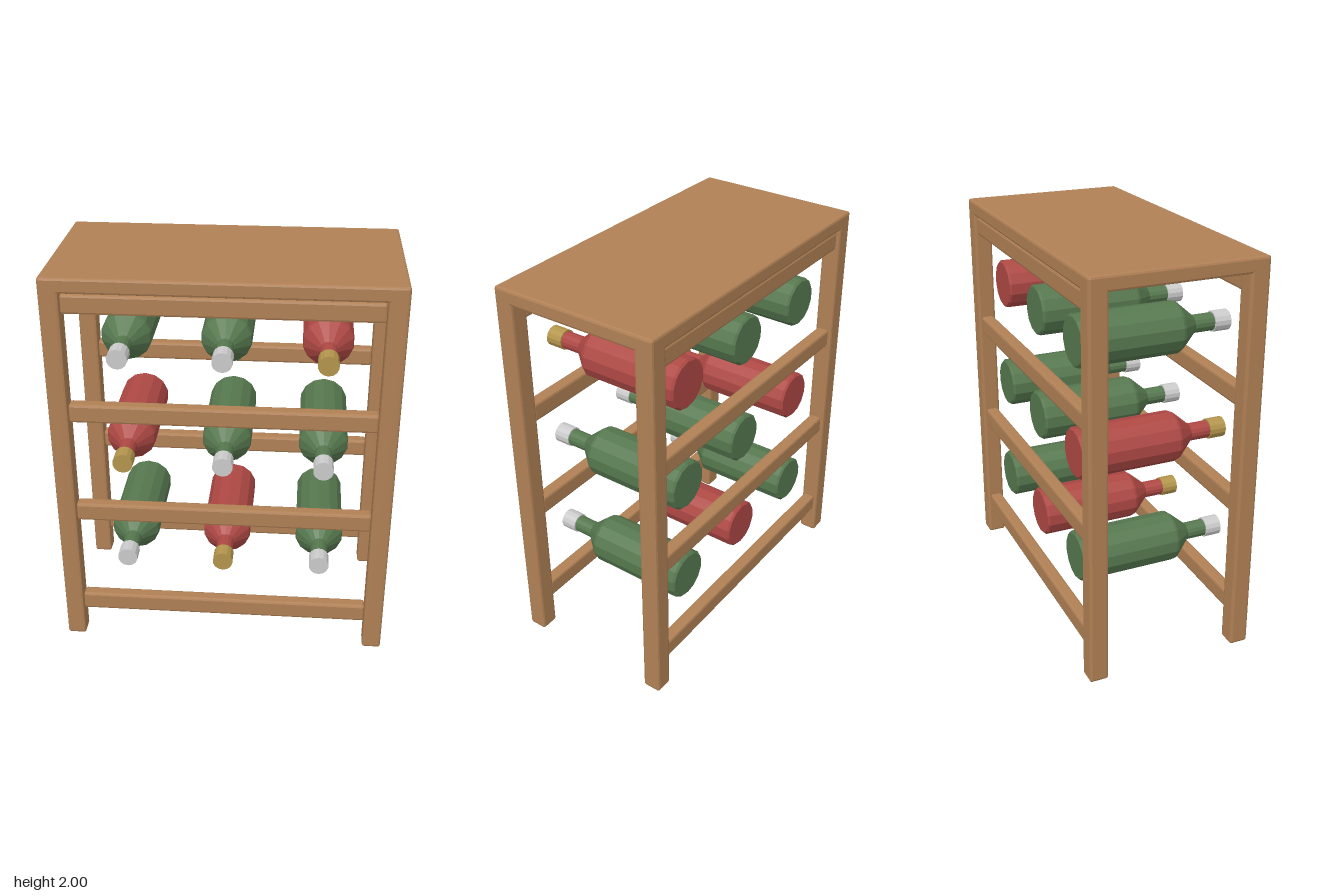
import * as THREE from 'three';
import { RoundedBoxGeometry } from 'three/addons/geometries/RoundedBoxGeometry.js';

const mat = (color) => new THREE.MeshStandardMaterial({ color, flatShading: true });

export function createModel() {
  const rack = new THREE.Group();
  rack.name = 'bottleRack';
  const wood = mat(0xb08055), green = mat(0x56784f), red = mat(0xae4844);
  const gold = mat(0xb3954c), silver = mat(0xcccccc);

  const beam = (name, w, h, d, x, y, z) => {
    const mesh = new THREE.Mesh(new RoundedBoxGeometry(w, h, d, 1, 0.012), wood);
    mesh.name = name;
    mesh.position.set(x, y, z);
    rack.add(mesh);
  };

  // Top board and four legs
  beam('topBoard', 1.66, 0.075, 0.86, 0, 1.9625, 0);
  for (const x of [-0.7825, 0.7825])
    for (const z of [-0.3825, 0.3825]) beam('leg', 0.095, 1.96, 0.095, x, 0.98, z);

  // Cross rails, front and back
  for (const y of [0.205, 0.76, 1.315, 1.87])
    for (const z of [-0.3825, 0.3825]) beam('rail', 1.47, 0.095, 0.065, 0, y, z);

  // Bottle and cap profiles, radius against distance along the bottle
  const lathe = (points) => new THREE.LatheGeometry(
    points.map(([r, l]) => new THREE.Vector2(r, l)), 14).rotateX(Math.PI / 2);
  const bottleGeometry = lathe([
    [0, -0.365], [0.115, -0.365], [0.125, -0.355], [0.125, 0.135], [0.12, 0.148],
    [0.055, 0.222], [0.043, 0.235], [0.043, 0.34],
  ]);
  const capGeometry = lathe([[0, 0.337], [0.05, 0.337], [0.05, 0.42], [0, 0.42]]);

  // Three rows of three, with one red bottle in each row
  const redColumn = [1, 0, 2];
  for (let row = 0; row < 3; row++) {
    for (let col = 0; col < 3; col++) {
      const isRed = redColumn[row] === col;
      const bottle = new THREE.Group();
      bottle.name = 'bottle';
      const glass = new THREE.Mesh(bottleGeometry, isRed ? red : green);
      glass.name = 'bottleBody';
      const cap = new THREE.Mesh(capGeometry, isRed ? gold : silver);
      cap.name = 'bottleCap';
      bottle.add(glass, cap);
      bottle.position.set((col - 1) * 0.488, 0.5 + row * 0.555, 0);
      rack.add(bottle);
    }
  }
  return rack;
}
